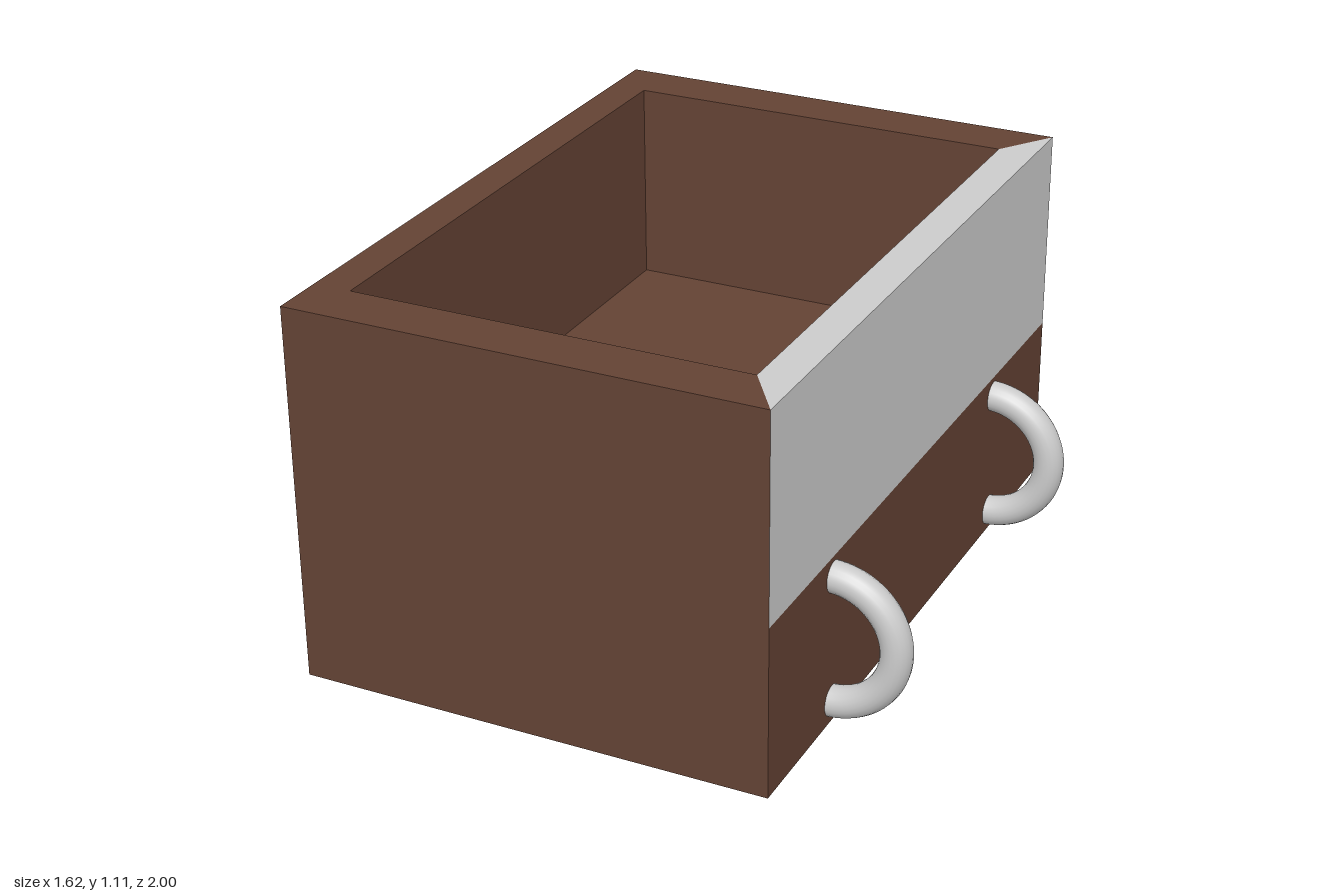
import * as THREE from 'three';

const brown = new THREE.MeshStandardMaterial({ color: 0x634234 });
const grey = new THREE.MeshStandardMaterial({ color: 0xcccccc });

const FLOOR = 0.505, TOP = 1.11;

// Rectangle of four corners, counter-clockwise from above, starting front left
const ring = (x0, x1, z, y) => [[x0, y, z], [x1, y, z], [x1, y, -z], [x0, y, -z]];
const outer = y => ring(-0.81, 0.577, 1, y);
const inner = y => ring(-0.70, 0.467, 0.84, y);

// Flat-faced mesh from a list of four-cornered faces
function quadMesh(name, quads, material) {
  const points = quads.flatMap(([a, b, c, d]) => [a, b, c, a, c, d]).flat();
  const geometry = new THREE.BufferGeometry();
  geometry.setAttribute('position', new THREE.Float32BufferAttribute(points, 3));
  geometry.computeVertexNormals();
  const mesh = new THREE.Mesh(geometry, material);
  mesh.name = name;
  return mesh;
}

// Strip of faces along one side, running through consecutive rings
function sideStrip(rings, side) {
  const next = (side + 1) % 4;
  return rings.slice(1).map((hi, i) => [rings[i][side], rings[i][next], hi[next], hi[side]]);
}

export function createModel() {
  const group = new THREE.Group();
  group.name = 'openBox';

  // Brown body: underside, raised inner floor, three full walls and the lower right wall
  const wallRings = [outer(0), outer(TOP), inner(TOP), inner(FLOOR)];
  const bodyFaces = [outer(0).reverse(), inner(FLOOR)];
  for (const side of [0, 2, 3]) bodyFaces.push(...sideStrip(wallRings, side));
  bodyFaces.push(...sideStrip([outer(0), outer(FLOOR)], 1));
  group.add(quadMesh('boxBody', bodyFaces, brown));

  // Grey mitred panel forming the upper right wall
  const panelRings = [outer(FLOOR), outer(TOP), inner(TOP), inner(FLOOR)];
  group.add(quadMesh('sidePanel', sideStrip(panelRings, 1), grey));

  // Two half-ring handles below the panel
  const handleGeometry = new THREE.TorusGeometry(0.19, 0.045, 20, 40, Math.PI);
  handleGeometry.rotateZ(-Math.PI / 2);
  for (const [name, z] of [['frontHandle', 0.597], ['backHandle', -0.577]]) {
    const handle = new THREE.Mesh(handleGeometry, grey);
    handle.name = name;
    handle.position.set(0.57, 0.255, z);
    group.add(handle);
  }

  return group;
}
